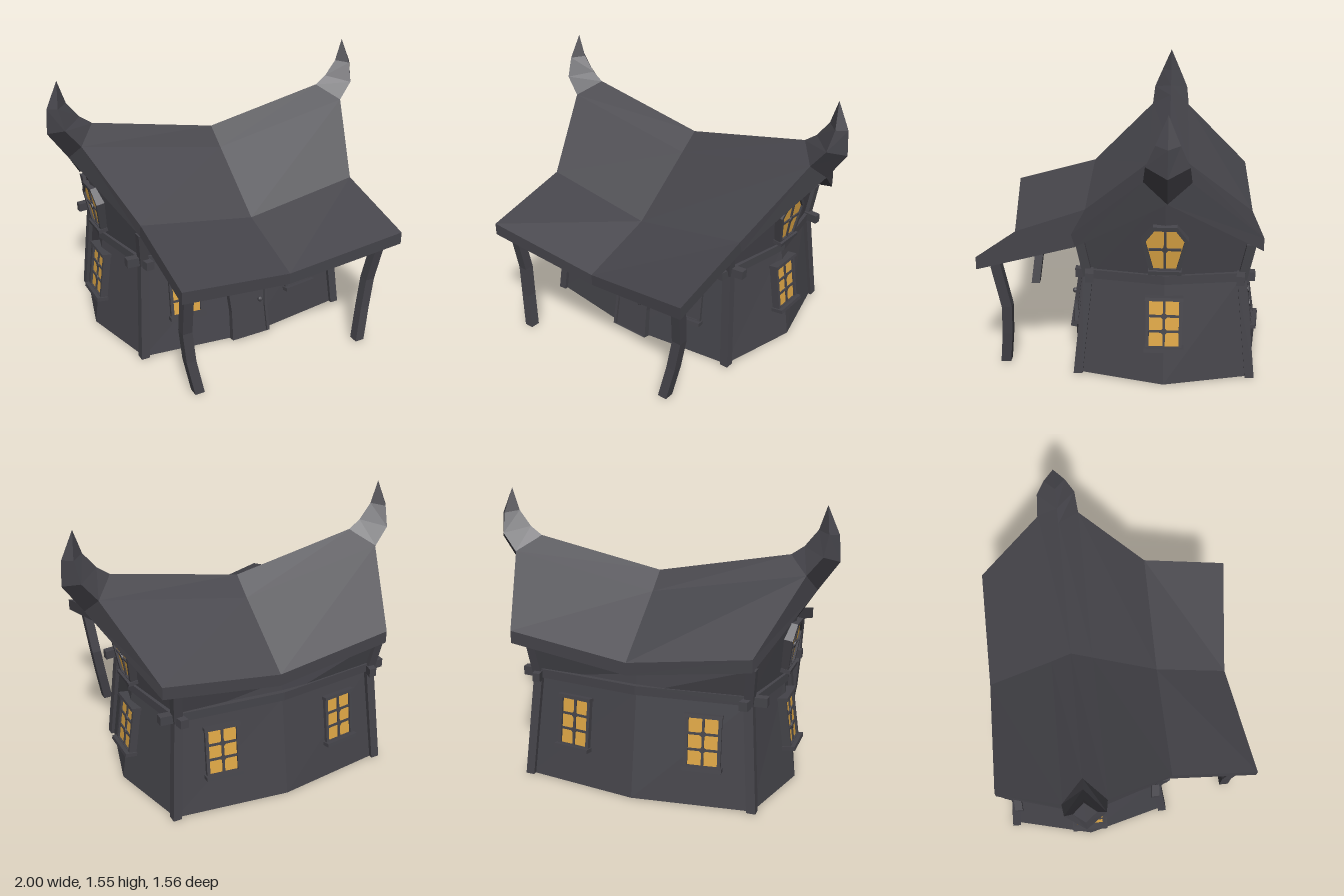
import * as THREE from 'three';

const CX = -0.04, CZ = -0.22; // centre of the walls

export function createModel() {
  const model = new THREE.Group();
  const charcoal = new THREE.MeshStandardMaterial({ color: 0x45444a, flatShading: true, side: THREE.DoubleSide });
  charcoal.name = 'charcoal';
  const amber = new THREE.MeshStandardMaterial({ color: 0xdca544 });
  amber.name = 'amber';

  const add = (parent, name, geometry, material = charcoal) => {
    const m = new THREE.Mesh(geometry, material);
    m.name = name;
    parent.add(m);
    return m;
  };
  const box = (parent, name, w, h, d, x, y, z) => {
    const m = add(parent, name, new THREE.BoxGeometry(w, h, d));
    m.position.set(x, y, z);
    return m;
  };

  // Skin of quads between successive closed rings, with optional end triangles
  function loft(rings, caps = []) {
    const pos = [];
    const tri = (a, b, c) => pos.push(...a, ...b, ...c);
    for (let i = 0; i + 1 < rings.length; i++) {
      const p = rings[i], q = rings[i + 1], n = p.length;
      for (let j = 0; j < n; j++) {
        const k = (j + 1) % n;
        tri(p[j], p[k], q[k]);
        tri(p[j], q[k], q[j]);
      }
    }
    for (const [a, b, c] of caps) {
      const first = rings[0], last = rings[rings.length - 1];
      tri(first[a], first[c], first[b]);
      tri(last[a], last[b], last[c]);
    }
    const g = new THREE.BufferGeometry();
    g.setAttribute('position', new THREE.Float32BufferAttribute(pos, 3));
    g.computeVertexNormals();
    return g;
  }

  // Square timber along a bent path; a and b are the half axes of its section
  const timber = (name, path, a, b) => {
    const rings = path.map(p => [[1, 1], [-1, 1], [-1, -1], [1, -1]].map(
      ([s, t]) => p.map((v, i) => v + s * a[i] + t * b[i])));
    add(model, name, loft(rings, [[0, 1, 2], [0, 2, 3]]));
  };

  // Walls: open eight-sided shell, pinched at the waist and rising to two gables
  const wallRing = (cx, cy, cz, mx, sideY, mz, frontY) => [
    [0, frontY, mz], [cx, cy, cz], [mx, sideY, 0], [cx, cy, -cz],
    [0, frontY, -mz], [-cx, cy, -cz], [-mx, sideY, 0], [-cx, cy, cz],
  ].map(([x, y, z]) => [x + CX, y, z + CZ]);
  add(model, 'walls', loft([
    wallRing(0.65, 0, 0.475, 0.77, 0, 0.56, 0),
    wallRing(0.6, 0.57, 0.41, 0.69, 0.57, 0.47, 0.57),
    wallRing(0.62, 0.77, 0.455, 0.77, 1.09, 0.46, 0.68),
  ]));

  // Corner posts and belt beams
  const w = 0.025;
  for (const sx of [-1, 1]) for (const sz of [-1, 1]) {
    timber('cornerPost', [[0.65, 0, 0.475], [0.605, 0.57, 0.415], [0.625, 0.78, 0.455]].map(
      ([x, y, z]) => [CX + sx * x, y, CZ + sz * z]), [w, 0, 0], [0, 0, w]);
  }
  for (const s of [-1, 1]) {
    timber('longBelt', [[-0.7, 0.595, 0.4], [0, 0.595, 0.47], [0.7, 0.595, 0.4]].map(
      ([x, y, z]) => [CX + x, y, CZ + s * z]), [0, w, 0], [0, 0, 0.022]);
    timber('sideBelt', [[0.59, 0.585, -0.485], [0.69, 0.595, 0], [0.59, 0.585, 0.485]].map(
      ([x, y, z]) => [CX + s * x, y, CZ + z]), [0, w, 0], [0.022, 0, 0]);
  }

  // Roof: sagging in the middle, with a long porch slope at the front
  const roofEnd = s => [
    [0.68, 0.71, 0.78], [0.68, 0.85, 0.27], [0.85, 1.2, -0.11], [0.76, 1.285, -0.23], [0.85, 1.2, -0.345],
    [0.68, 0.85, -0.73], [0.68, 0.78, -0.73], [0.89, 1.1, -0.23], [0.68, 0.78, 0.25], [0.68, 0.64, 0.78],
  ].map(([x, y, z]) => [s * x, y, z]);
  const roofMiddle = [
    [0, 0.59, 0.7], [0, 0.74, 0.27], [0, 1.04, -0.11], [0, 1.135, -0.23], [0, 1.04, -0.345],
    [0, 0.75, -0.73], [0, 0.68, -0.73], [0, 1.03, -0.23], [0, 0.67, 0.25], [0, 0.525, 0.7],
  ];
  add(model, 'roof', loft([roofEnd(-1), roofMiddle, roofEnd(1)],
    [[8, 9, 0], [8, 0, 1], [8, 1, 2], [8, 2, 7], [7, 2, 3], [7, 3, 4], [7, 4, 5], [7, 5, 6]]));

  // Curled horns: inner x,y / side x,y,half width / outer x,y
  const hornSections = [
    [0.74, 1.28, 0.85, 1.2, 0.12, 0.89, 1.1],
    [0.81, 1.33, 0.93, 1.3, 0.108, 1.0, 1.26],
    [0.88, 1.42, 0.945, 1.41, 0.06, 0.99, 1.4],
    [0.922, 1.55, 0.922, 1.55, 0, 0.922, 1.55],
  ];
  for (const s of [-1, 1]) {
    add(model, 'roofHorn', loft(hornSections.map(([ix, iy, mx, my, h, ox, oy]) => [
      [s * ix, iy, -0.23], [s * mx, my, -0.23 + h], [s * ox, oy, -0.23], [s * mx, my, -0.23 - h]])));
  }

  // Crooked porch posts
  for (const path of [
    [[-0.612, 0.67, 0.695], [-0.605, 0.38, 0.645], [-0.59, 0.2, 0.655], [-0.555, 0, 0.68]],
    [[0.6, 0.67, 0.695], [0.57, 0.38, 0.645], [0.54, 0.2, 0.655], [0.5, 0, 0.68]],
  ]) timber('porchPost', path, [0.028, 0, 0], [0, 0, 0.028]);

  // Flat outlines, frames and plates
  const outline = pts => pts.map(([x, y]) => new THREE.Vector2(x, y));
  const frame = (outer, inner, depth) => {
    const shape = new THREE.Shape(outline(outer));
    if (inner) shape.holes.push(new THREE.Path(outline(inner)));
    return new THREE.ExtrudeGeometry(shape, { depth, bevelEnabled: false }).translate(0, 0, -0.03);
  };
  const rect = (x, y) => [[-x, -y], [x, -y], [x, y], [-x, y]];

  // A group seated on the wall, turned and leaning with it
  const seat = (name, x, y, z, yaw, lean) => {
    const g = new THREE.Group();
    g.name = name;
    g.position.set(x, y, z);
    g.rotation.set(lean, yaw, 0, 'YXZ');
    model.add(g);
    return g;
  };

  function glazing(g, outer, inner, lit, bars, halfW, halfH) {
    add(g, 'windowFrame', frame(outer, inner, 0.052));
    const pane = add(g, 'pane', new THREE.ShapeGeometry(new THREE.Shape(outline(inner))), lit ? amber : charcoal);
    pane.position.z = 0.01;
    if (!lit) return;
    box(g, 'mullion', 0.013, halfH * 2, 0.008, 0, 0, 0.014);
    for (const y of bars) {
      box(g, 'glazingBar', halfW * 2, 0.012, 0.008, 0, y, 0.014);
      box(g, 'barBoss', 0.03, 0.03, 0.008, 0, y, 0.017).rotation.z = Math.PI / 4;
    }
  }

  function tallWindow(g, lit) {
    glazing(g, rect(0.098, 0.142), rect(0.08, 0.128), lit, [-0.043, 0.043], 0.08, 0.128);
    box(g, 'sill', 0.214, 0.022, 0.075, 0, -0.142, 0.008);
    box(g, 'lintel', 0.206, 0.018, 0.06, 0, 0.142, 0.004);
  }

  // Front and back windows
  for (const s of [-1, 1]) for (const u of [-0.375, 0.365]) {
    const y = 0.35, k = y / 0.57;
    const half = 0.56 - 0.09 * k - Math.abs(u) / 0.62 * (0.085 - 0.025 * k);
    const turn = Math.sign(u) * 0.12;
    const g = seat('window', CX + u, y, CZ + s * half, s > 0 ? turn : Math.PI - turn, -0.14);
    tallWindow(g, !(s > 0 && u > 0));
  }

  // Side windows, with a tapered one in each gable
  const taper = (b, m, t, y0, y1, y2) => [[-b, y0], [b, y0], [m, y1], [t, y2], [-t, y2], [-m, y1]];
  for (const s of [-1, 1]) {
    tallWindow(seat('sideWindow', CX + s * 0.721, 0.35, CZ, s * Math.PI / 2, -0.14), true);
    const g = seat('gableWindow', CX + s * 0.722, 0.78, CZ, s * Math.PI / 2, 0.152);
    glazing(g, taper(0.08, 0.122, 0.062, -0.13, 0.06, 0.14),
      taper(0.06, 0.101, 0.056, -0.112, 0.055, 0.117), true, [0.005], 0.085, 0.112);
    box(g, 'gableSill', 0.175, 0.022, 0.065, 0, -0.128, 0.004);
  }

  // Pointed door with a frame and a knob
  const door = seat('door', CX, 0, CZ + 0.562, 0, -0.157);
  const doorShape = (b, m, t, p) => [[-b, 0], [b, 0], [b - 0.006, 0.18], [m, t], [0, p], [-m, t]
    , [-b + 0.006, 0.18]];
  add(door, 'doorFrame', frame(doorShape(0.125, 0.137, 0.41, 0.46), doorShape(0.108, 0.116, 0.395, 0.435), 0.05));
  add(door, 'doorLeaf', frame(doorShape(0.109, 0.117, 0.396, 0.436), null, 0.036));
  add(door, 'doorKnob', new THREE.SphereGeometry(0.016, 10, 8)).position.set(0.07, 0.22, 0.028);

  return model;
}
